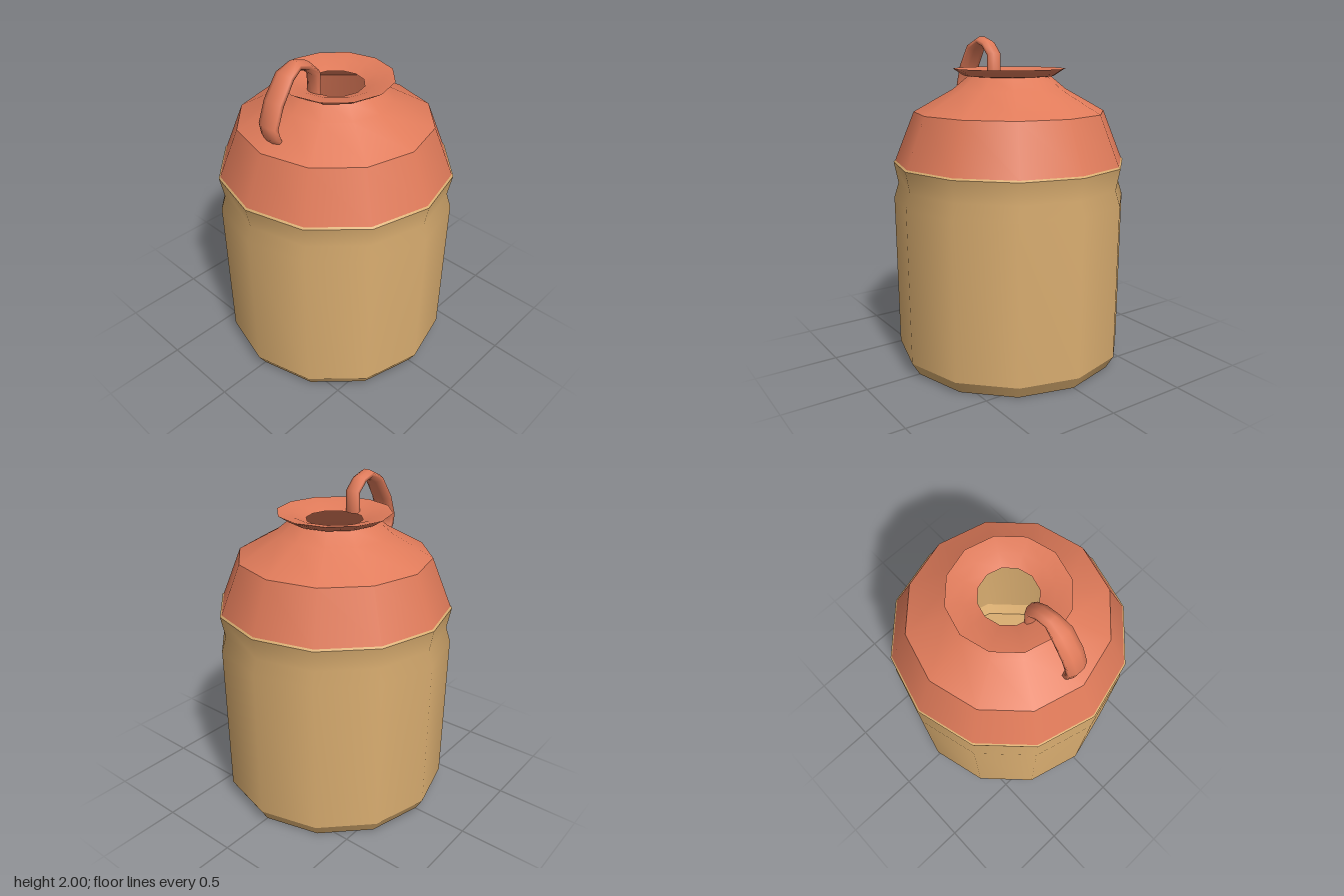
import * as THREE from 'three';

const SIDES = 12;

export function createModel() {
  const group = new THREE.Group();
  group.name = 'jug';

  const tan = new THREE.MeshStandardMaterial({ color: 0xd9ad70, side: THREE.DoubleSide });
  tan.name = 'tan clay';
  const terracotta = new THREE.MeshStandardMaterial({ color: 0xe07b5a, side: THREE.DoubleSide });
  terracotta.name = 'terracotta glaze';

  // Each turned section is smooth in itself, with a crease where it meets the next
  const turned = (name, material, points) => {
    const profile = points.map(([r, y]) => new THREE.Vector2(r, y));
    const mesh = new THREE.Mesh(new THREE.LatheGeometry(profile, SIDES), material);
    mesh.name = name;
    group.add(mesh);
  };

  turned('bottom', tan, [[0, 0], [0.66, 0]]);
  turned('baseBevel', tan, [[0.66, 0], [0.707, 0.08]]);
  turned('body', tan, [[0.707, 0.08], [0.713, 1.03], [0.685, 1.12], [0.71, 1.25]]);
  turned('bodyLip', tan, [[0.71, 1.25], [0.7, 1.26]]);
  turned('lowerShoulder', terracotta, [[0.7, 1.26], [0.58, 1.555]]);
  turned('upperShoulder', terracotta, [[0.58, 1.555], [0.34, 1.69], [0.25, 1.765]]);
  turned('rimUnderside', terracotta, [[0.25, 1.765], [0.275, 1.768], [0.34, 1.81]]);
  turned('rimFunnel', terracotta, [[0.34, 1.81], [0.25, 1.795], [0.168, 1.765]]);

  // Handle stations: z, y, half width, half thickness
  const stations = [
    [0.172, 1.765, 0.045, 0.025], [0.172, 1.89, 0.045, 0.026],
    [0.235, 1.95, 0.045, 0.026], [0.305, 1.972, 0.046, 0.027],
    [0.38, 1.935, 0.062, 0.029], [0.465, 1.81, 0.066, 0.03],
    [0.51, 1.69, 0.066, 0.03], [0.498, 1.63, 0.066, 0.03],
    [0.475, 1.59, 0.06, 0.026],
  ];
  group.add(makeHandle(stations, 8, terracotta));
  return group;
}

// Oval rings swept along the stations, closed by flat end caps
function makeHandle(stations, sides, material) {
  const positions = [];
  const index = [];
  const last = stations.length - 1;
  const ring = (i) => {
    const [z, y, w, t] = stations[i];
    const a = stations[Math.max(i - 1, 0)];
    const b = stations[Math.min(i + 1, last)];
    const length = Math.hypot(b[0] - a[0], b[1] - a[1]);
    const nz = -(b[1] - a[1]) / length;
    const ny = (b[0] - a[0]) / length;
    const start = positions.length / 3;
    for (let k = 0; k < sides; k++) {
      const angle = ((k + 0.5) / sides) * Math.PI * 2;
      const u = Math.cos(angle) * w * 1.06;
      const v = Math.sin(angle) * t * 1.06;
      positions.push(u, y + ny * v, z + nz * v);
    }
    return start;
  };

  stations.forEach((_, i) => ring(i));
  for (let i = 0; i < last; i++) {
    for (let k = 0; k < sides; k++) {
      const n = (k + 1) % sides;
      const a = i * sides + k, b = i * sides + n;
      index.push(a, a + sides, b, b, a + sides, b + sides);
    }
  }
  const first = ring(0);
  const end = ring(last);
  for (let k = 1; k < sides - 1; k++) {
    index.push(first, first + k, first + k + 1);
    index.push(end, end + k + 1, end + k);
  }

  // Turn the winding outward if the signed volume is negative
  let volume = 0;
  const p = [0, 1, 2].map(() => new THREE.Vector3());
  for (let i = 0; i < index.length; i += 3) {
    p.forEach((v, j) => v.fromArray(positions, index[i + j] * 3));
    volume += p[0].dot(p[1].clone().cross(p[2]));
  }
  if (volume < 0) index.reverse();

  const geometry = new THREE.BufferGeometry();
  geometry.setAttribute('position', new THREE.Float32BufferAttribute(positions, 3));
  geometry.setIndex(index);
  geometry.computeVertexNormals();
  const mesh = new THREE.Mesh(geometry, material);
  mesh.name = 'handle';
  return mesh;
}
